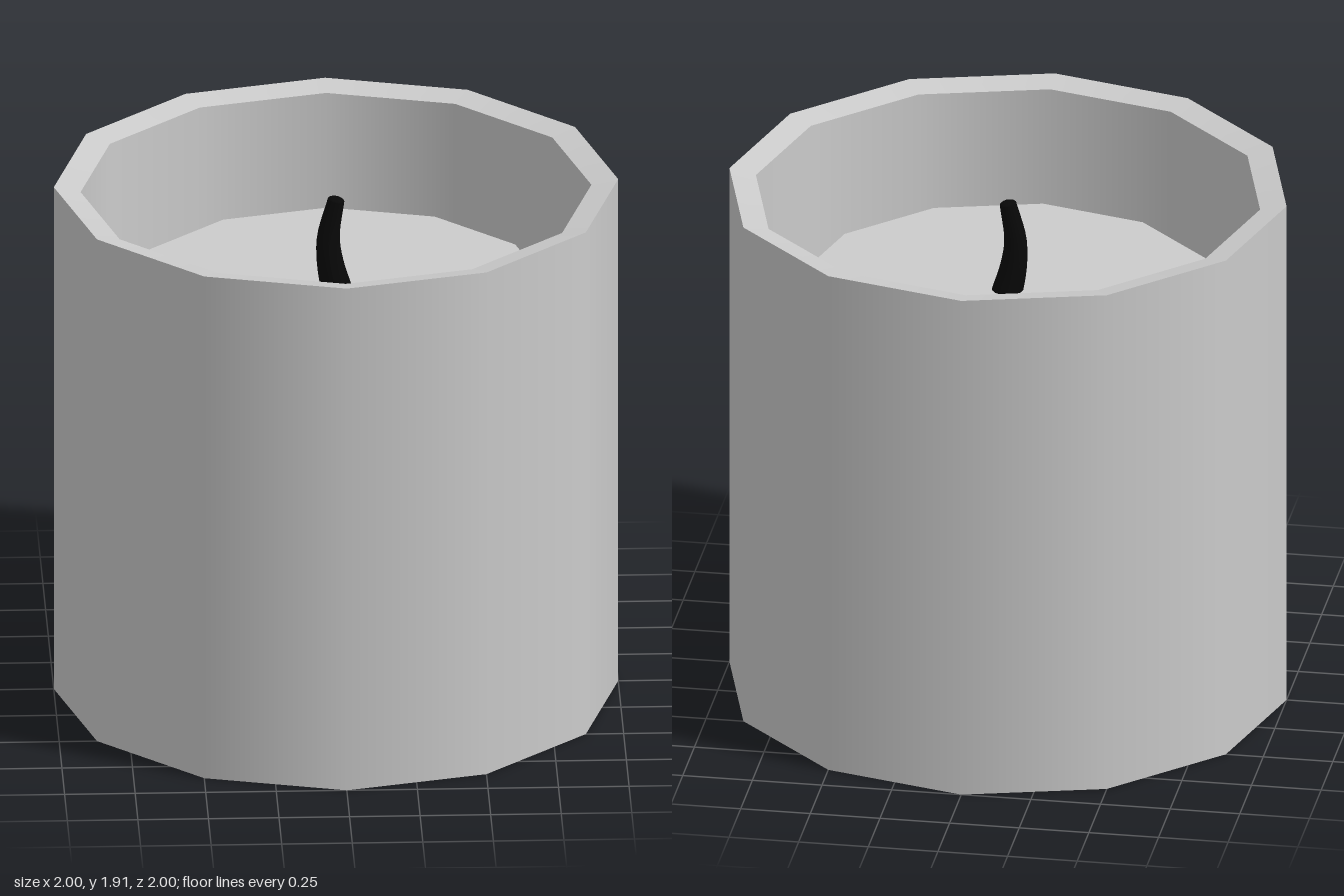
import * as THREE from 'three';
import { mergeGeometries } from 'three/addons/utils/BufferGeometryUtils.js';

const SIDES = 12;

// Turned profile: smooth around the axis, sharp at every profile corner
function turned(points) {
  const bands = [];
  for (let i = 0; i < points.length - 1; i++) {
    const pair = [points[i], points[i + 1]].map(([r, y]) => new THREE.Vector2(r, y));
    bands.push(new THREE.LatheGeometry(pair, SIDES));
  }
  return mergeGeometries(bands);
}

// Tapering round stem that follows a curve, with a closed tip
function taperedStem(curve, radiusAt, steps, sides) {
  const geometry = new THREE.TubeGeometry(curve, steps, 1, sides, false);
  const pos = geometry.attributes.position;
  const p = new THREE.Vector3();
  for (let i = 0; i <= steps; i++) {
    const centre = curve.getPointAt(i / steps);
    for (let j = 0; j <= sides; j++) {
      const k = i * (sides + 1) + j;
      p.fromBufferAttribute(pos, k).sub(centre).multiplyScalar(radiusAt(i / steps)).add(centre);
      pos.setXYZ(k, p.x, p.y, p.z);
    }
  }
  geometry.computeVertexNormals();
  return geometry;
}

export function createModel() {
  const group = new THREE.Group();
  const grey = new THREE.MeshStandardMaterial({ color: 0xcccccc });
  const black = new THREE.MeshStandardMaterial({ color: 0x080808 });
  const add = (name, geometry, material) => {
    const mesh = new THREE.Mesh(geometry, material);
    mesh.name = name;
    group.add(mesh);
    return mesh;
  };

  // Hollow jar with a rim that dips slightly inward
  add('jar', turned([
    [0, 0], [1, 0], [1, 1.915], [0.905, 1.895], [0.905, 0.1], [0, 0.1],
  ]), grey);

  // Wax block, narrower than the jar
  const waxTop = 1.52;
  add('wax', turned([[0.75, 0.1], [0.75, waxTop], [0, waxTop]]), grey);

  // Bowed wick, thinner towards the tip
  const path = new THREE.CatmullRomCurve3([
    [0.005, waxTop - 0.02], [-0.02, waxTop + 0.09], [-0.027, waxTop + 0.19], [0, waxTop + 0.33],
  ].map(([x, y]) => new THREE.Vector3(x, y, 0)));
  const radiusAt = (t) => 0.056 - 0.026 * t;
  add('wick', taperedStem(path, radiusAt, 12, 16), black);
  const tip = add('wickTip', new THREE.SphereGeometry(radiusAt(1), 16, 6, 0, Math.PI * 2, 0, Math.PI / 2), black);
  tip.position.copy(path.getPointAt(1));
  tip.scale.y = 0.4;
  tip.quaternion.setFromUnitVectors(new THREE.Vector3(0, 1, 0), path.getTangentAt(1));

  return group;
}
